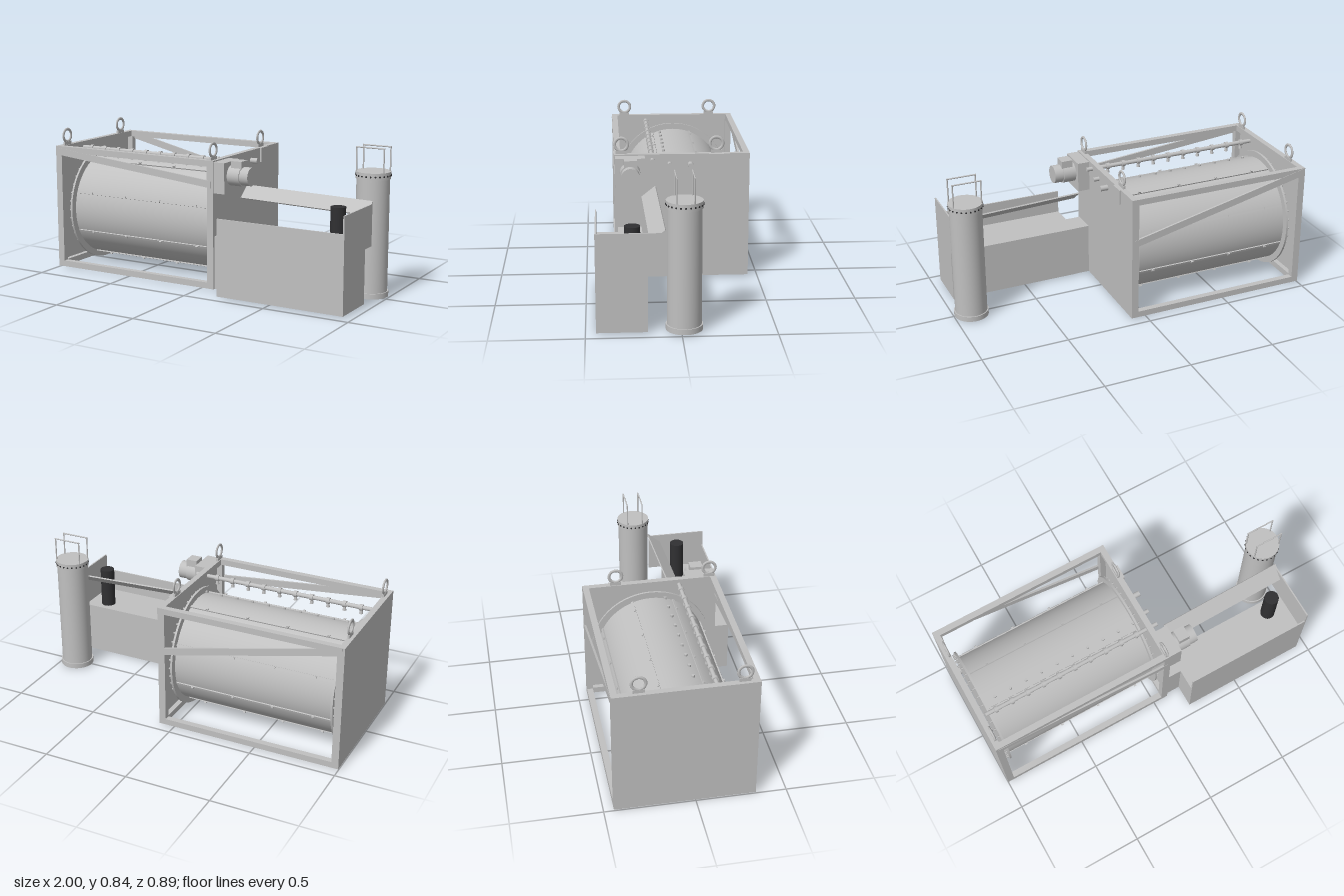
import * as THREE from 'three';

export function createModel() {
  const model = new THREE.Group();
  const steel = new THREE.MeshStandardMaterial({ color: 0xc0c0c0 });
  steel.name = 'steel grey';
  const black = new THREE.MeshStandardMaterial({ color: 0x303032 });
  black.name = 'black';

  const add = (parent, name, geo, x, y, z, mat = steel) => {
    const m = new THREE.Mesh(geo, mat);
    m.name = name;
    m.position.set(x, y, z);
    parent.add(m);
    return m;
  };
  const group = (name) => {
    const g = new THREE.Group();
    g.name = name;
    model.add(g);
    return g;
  };
  // box given by its limits on each axis
  const box = (parent, name, x0, x1, y0, y1, z0, z1, mat) =>
    add(parent, name, new THREE.BoxGeometry(x1 - x0, y1 - y0, z1 - z0),
      (x0 + x1) / 2, (y0 + y1) / 2, (z0 + z1) / 2, mat);
  // cylinder lying along x
  const rod = (parent, name, r, x0, x1, y, z, seg = 16, mat = steel) =>
    add(parent, name, new THREE.CylinderGeometry(r, r, x1 - x0, seg).rotateZ(Math.PI / 2),
      (x0 + x1) / 2, y, z, mat);

  // Frame: rails, posts and solid end plates
  const frame = group('frame');
  const X0 = -1, X1 = 0.09, Y0 = 0.01, Y1 = 0.745, Z0 = -0.445, Z1 = 0.33, T = 0.035;
  box(frame, 'endPlateRight', X0, X0 + 0.006, Y0, Y1, Z0, Z1);
  box(frame, 'endPlateLeft', X1 - 0.006, X1, Y0, Y1, Z0, Z1);
  for (const z of [Z0, Z1 - T]) {
    for (const y of [Y0, Y1 - T]) box(frame, 'longRail', X0 + 0.006, X1 - 0.006, y, y + T, z, z + T);
    for (const x of [X0 + 0.006, X1 - 0.006 - T])
      box(frame, 'post', x, x + T, Y0 + T, Y1 - T, z, z + T);
  }
  for (const y of [Y0, Y1 - T])
    for (const x of [X0 + 0.006, X1 - 0.006 - 0.028])
      box(frame, 'crossRail', x, x + 0.028, y, y + T, Z0 + T, Z1 - T);

  // Diagonal braces on the front and back
  const brace = (name, yLeft, yRight, h, z) => {
    const s = new THREE.Shape();
    s.moveTo(-0.985, yLeft);
    s.lineTo(0.075, yRight);
    s.lineTo(0.075, yRight + h);
    s.lineTo(-0.985, yLeft + h);
    add(frame, name, new THREE.ExtrudeGeometry(s, { depth: 0.012, bevelEnabled: false }), 0, 0, z);
  };
  brace('frontBrace', 0.693, 0.59, 0.04, Z1 - 0.01);
  brace('backBrace', 0.7, 0.455, 0.042, Z0 - 0.002);

  // Lifting eyes
  const eyes = group('liftingEyes');
  for (const [x, z] of [[-0.975, -0.3], [-0.975, 0.25], [0.067, -0.255], [0.067, 0.29]]) {
    const ring = add(eyes, 'eyeRing', new THREE.TorusGeometry(0.037, 0.0085, 12, 36), x, 0.8, z);
    ring.rotation.y = Math.PI / 2;
    ring.scale.z = 0.65;
    box(eyes, 'eyeBase', x - 0.006, x + 0.006, Y1, 0.763, z - 0.031, z + 0.031);
  }
  box(eyes, 'eyeBackingPlate', X1, X1 + 0.01, 0.66, Y1, -0.295, -0.21);

  // Drum with end flanges, lengthwise bars and bolts
  const drum = group('drum');
  const CY = 0.35, CZ = -0.06, R = 0.31;
  rod(drum, 'drumShell', R, -0.925, 0.03, CY, CZ, 72);
  const polar = (a, r) => [CY + r * Math.sin(a), CZ + r * Math.cos(a)];
  for (const [x, out] of [[-0.93, -1], [0.03, 1]]) {
    rod(drum, 'flange', 0.347, x - 0.006, x + 0.006, CY, CZ, 72);
    for (let i = 0; i < 40; i++) {
      const [y, z] = polar((i / 40) * Math.PI * 2, 0.332);
      const bx = x + out * 0.012;
      rod(drum, 'flangeBolt', 0.006, bx - 0.008, bx + 0.008, y, z, 6);
    }
  }
  for (let i = 0; i < 8; i++) {
    const a = THREE.MathUtils.degToRad(20 + 45 * i);
    const [y, z] = polar(a, R + 0.001);
    const bar = add(drum, 'drumBar', new THREE.BoxGeometry(0.945, 0.014, 0.012), -0.447, y, z);
    bar.rotation.x = -a;
    for (const x of [-0.81, -0.57, -0.33, -0.08]) {
      const [by, bz] = polar(a, R + 0.009);
      const bolt = add(drum, 'barBolt', new THREE.BoxGeometry(0.014, 0.01, 0.012), x, by, bz);
      bolt.rotation.x = -a;
    }
  }

  // Spray pipe with collars and nozzles
  const spray = group('sprayPipe');
  rod(spray, 'pipe', 0.012, -0.955, 0.125, 0.713, 0.113);
  for (let i = 0; i < 10; i++) {
    const x = -0.89 + i * 0.098;
    rod(spray, 'collar', 0.018, x - 0.01, x + 0.01, 0.713, 0.113);
    add(spray, 'nozzle', new THREE.CylinderGeometry(0.006, 0.011, 0.03, 10), x, 0.69, 0.113);
    add(spray, 'drumStud', new THREE.CylinderGeometry(0.009, 0.009, 0.016, 8), x + 0.03, 0.652, 0.025);
  }
  rod(spray, 'middleStub', 0.012, X1, 0.125, 0.69, 0.015);
  rod(spray, 'drainStub', 0.016, X1, 0.135, 0.685, -0.105);

  // Drive: gearbox, motor and terminal box
  const drive = group('drive');
  box(drive, 'gearbox', X1, 0.16, 0.563, 0.738, 0.157, 0.327);
  rod(drive, 'motor', 0.058, 0.16, 0.235, 0.66, 0.243, 40);
  rod(drive, 'motorCover', 0.052, 0.235, 0.287, 0.66, 0.243, 40);
  box(drive, 'terminalBox', 0.175, 0.24, 0.7, 0.745, 0.205, 0.278);

  // Tank with front wall, tall end wall, sloped plate and pump
  const tank = group('tank');
  box(tank, 'connectingBox', X1, 0.18, Y0, 0.315, 0.177, 0.315);
  box(tank, 'tankBody', 0.18, 0.945, Y0, 0.315, 0.175, 0.445);
  box(tank, 'frontWall', 0.18, 0.937, 0.315, 0.45, 0.437, 0.445);
  box(tank, 'endWall', 0.937, 0.945, 0.315, 0.548, 0.09, 0.445);
  const plate = add(tank, 'slopedPlate', new THREE.BoxGeometry(0.765, 0.008, 0.1), 0.5625, 0.54, 0.13);
  plate.rotation.set(0.67, 0, -0.035);
  add(tank, 'pump', new THREE.CylinderGeometry(0.042, 0.042, 0.235, 24), 0.818, 0.4325, 0.25, black);

  // Filter vessel with bolted collar and two carrying handles
  const vessel = group('filterVessel');
  vessel.position.set(0.9, 0, -0.0165);
  const ringed = (name, r, y0, y1) =>
    add(vessel, name, new THREE.CylinderGeometry(r, r, y1 - y0, 48), 0, (y0 + y1) / 2, 0);
  ringed('vesselBody', 0.0915, 0.012, 0.7);
  ringed('baseRing', 0.098, 0.01, 0.04);
  ringed('topCollar', 0.097, 0.67, 0.71);
  for (let i = 0; i < 24; i++) {
    const a = (i / 24) * Math.PI * 2;
    const bolt = add(vessel, 'collarBolt', new THREE.CylinderGeometry(0.005, 0.005, 0.006, 8).rotateX(Math.PI / 2),
      0.097 * Math.sin(a), 0.69, 0.097 * Math.cos(a), black);
    bolt.rotation.y = a;
  }
  for (const z of [0.046, -0.046]) {
    for (const x of [-0.08, 0.08])
      add(vessel, 'handlePost', new THREE.CylinderGeometry(0.004, 0.004, 0.14, 10), x, 0.775, z);
    rod(vessel, 'handleBar', 0.004, -0.084, 0.084, 0.842, z, 10);
  }
  return model;
}
